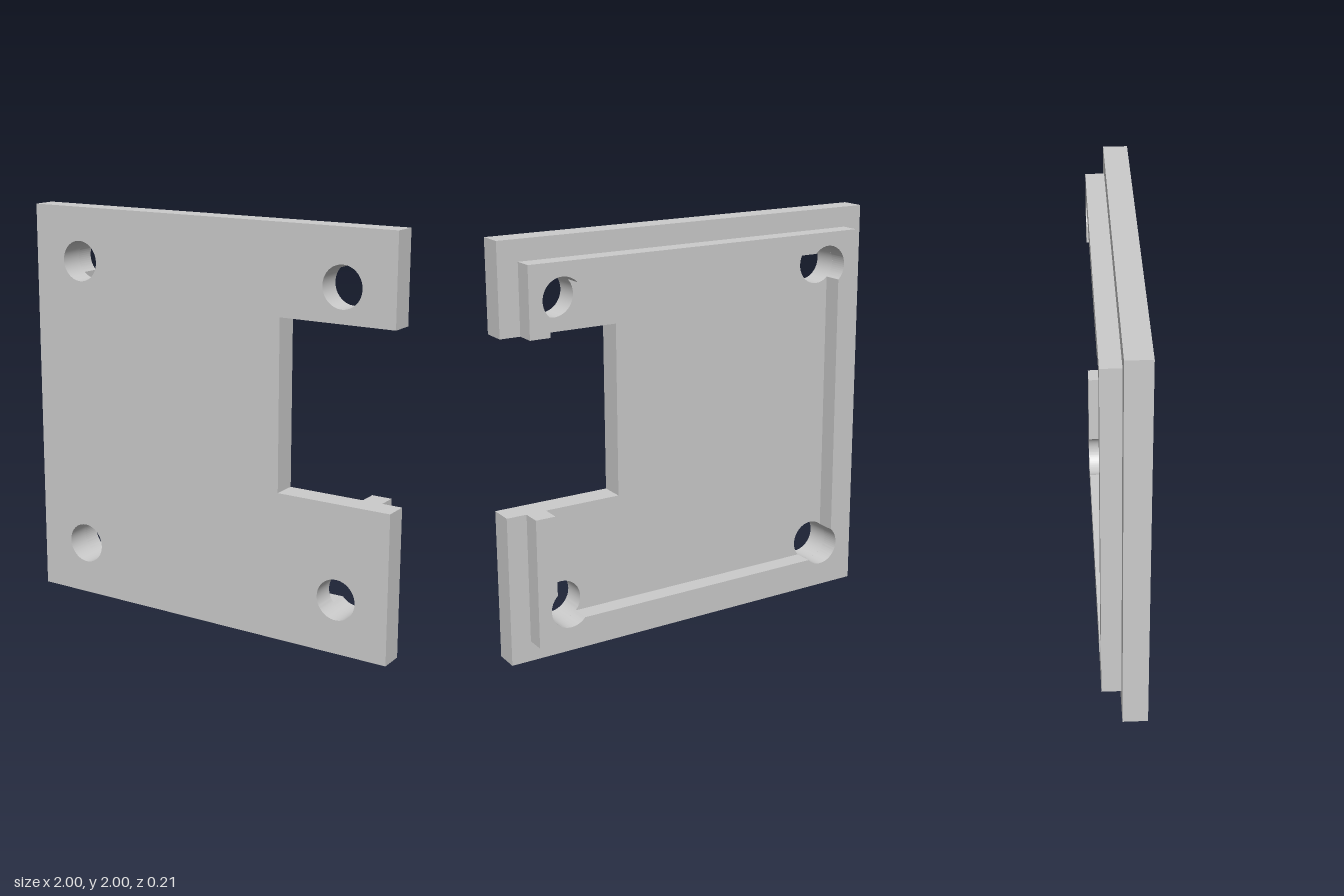
import * as THREE from 'three';
import { toCreasedNormals } from 'three/addons/utils/BufferGeometryUtils.js';

const HOLE = 0.733, RADIUS = 0.1;           // screw hole offset and radius
const NOTCH_X = 0.415, NOTCH_LOW = -0.267, NOTCH_HIGH = 0.567;
const RIM_OUT = 0.9, RIM_IN = 0.8;
const BACK = -0.107, STEP = -0.013, FRONT = 0.107;

const material = new THREE.MeshStandardMaterial({ color: 0xcccccc });

function slab(name, shape, z0, z1) {
  const geometry = new THREE.ExtrudeGeometry(shape, { depth: z1 - z0, bevelEnabled: false, curveSegments: 32 });
  geometry.translate(0, 1, z0);
  const mesh = new THREE.Mesh(toCreasedNormals(geometry, 0.5), material);
  mesh.name = name;
  return mesh;
}

const outline = (points) => new THREE.Shape(points.map(([x, y]) => new THREE.Vector2(x, y)));

// Square plate with a side notch and four screw holes
function plateShape() {
  const shape = outline([
    [-1, -1], [1, -1], [1, NOTCH_LOW], [NOTCH_X, NOTCH_LOW],
    [NOTCH_X, NOTCH_HIGH], [1, NOTCH_HIGH], [1, 1], [-1, 1],
  ]);
  for (const sx of [-1, 1]) for (const sy of [-1, 1]) {
    shape.holes.push(new THREE.Path().absarc(sx * HOLE, sy * HOLE, RADIUS, 0, Math.PI * 2, true));
  }
  return shape;
}

// Raised rim, open at the notch, its inner corners cut away by the screw holes
function rimShape() {
  const r = RIM_OUT;
  const shape = outline([
    [r, NOTCH_HIGH], [r, r], [-r, r], [-r, -r], [r, -r], [r, NOTCH_LOW], [RIM_IN, NOTCH_LOW],
  ]);
  const half = Math.acos((RIM_IN - HOLE) / RADIUS) + Math.PI / 4;
  for (let i = 0; i < 4; i++) {
    const diagonal = -Math.PI / 4 - i * Math.PI / 2;
    const cx = Math.sign(Math.cos(diagonal)) * HOLE;
    const cy = Math.sign(Math.sin(diagonal)) * HOLE;
    shape.absarc(cx, cy, RADIUS, diagonal + half, diagonal - half, true);
  }
  shape.lineTo(RIM_IN, NOTCH_HIGH);
  return shape;
}

export function createModel() {
  const group = new THREE.Group();
  group.name = 'coverPlate';
  group.add(slab('plate', plateShape(), STEP, FRONT));
  group.add(slab('rim', rimShape(), BACK, STEP));
  return group;
}
